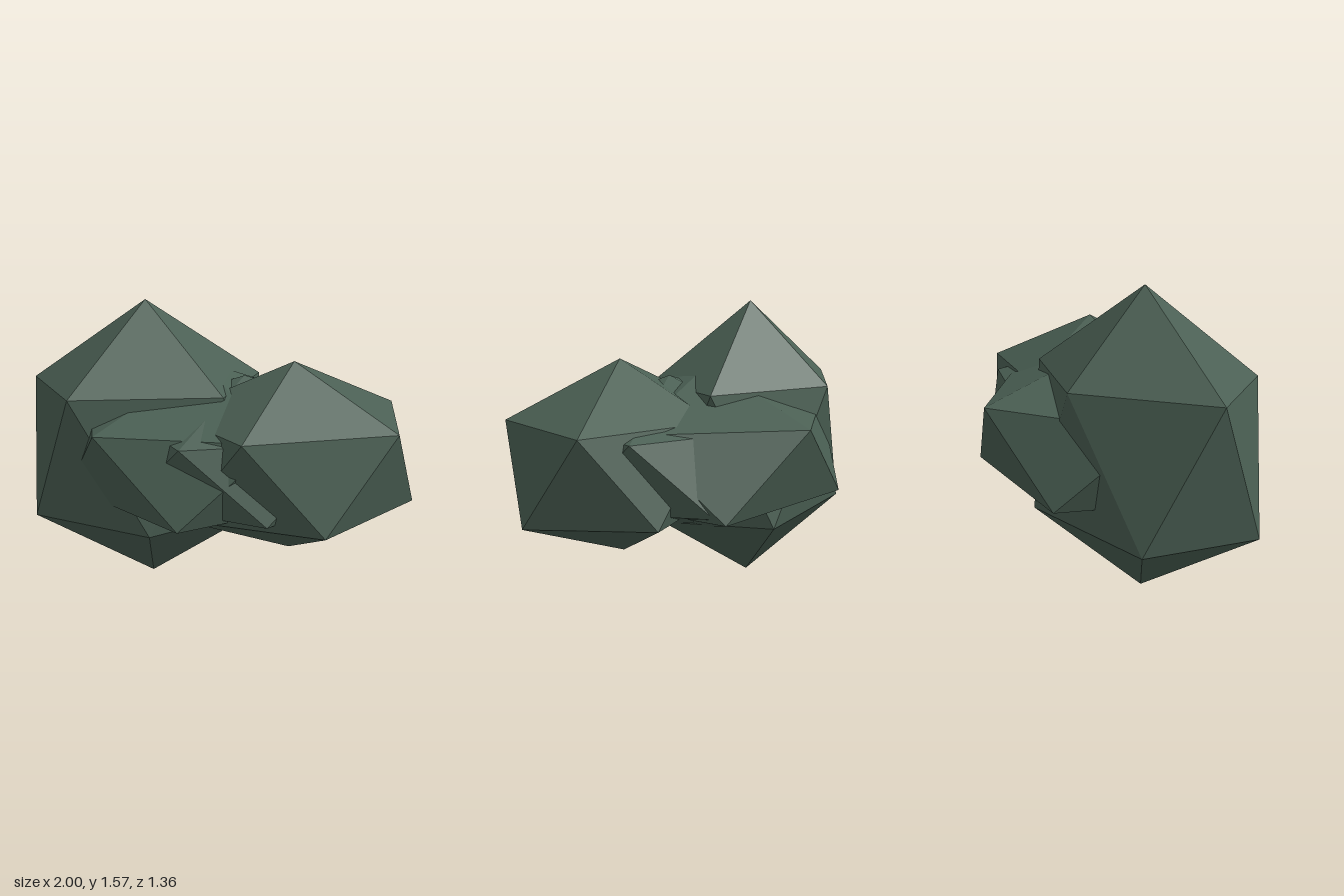
import * as THREE from 'three';

// Pole-up stretched icosahedron: c = centre, h = half height,
// u and w = [x, z] conjugate axes of the elliptical five-point ring.
function lobeGeometry(c, h, u, w) {
  const centre = new THREE.Vector3(...c);
  const top = new THREE.Vector3(0, h, 0);
  const ring = [];
  for (let k = 0; k < 5; k++) {
    const a = (k * Math.PI * 2) / 5, cos = Math.cos(a), sin = Math.sin(a);
    ring.push(new THREE.Vector3(
      u[0] * cos + w[0] * sin, h / Math.sqrt(5), u[1] * cos + w[1] * sin));
  }
  const points = [];
  // Every face is paired with its mirror through the centre
  const addPair = (p, q, r) => {
    for (const v of [p, q, r]) points.push(v.clone().add(centre));
    for (const v of [r, q, p]) points.push(v.clone().negate().add(centre));
  };
  for (let k = 0; k < 5; k++) {
    const a = ring[k], b = ring[(k + 1) % 5];
    addPair(top, b, a);                                  // cap
    addPair(a, b, ring[(k + 3) % 5].clone().negate());   // side band
  }
  const geometry = new THREE.BufferGeometry().setFromPoints(points);
  geometry.computeVertexNormals();
  return geometry;
}

export function createModel() {
  const group = new THREE.Group();
  group.name = 'bush';
  const foliage = new THREE.MeshStandardMaterial({ color: 0x4a5f53, flatShading: true });
  foliage.name = 'dark green foliage';

  const lobes = [
    ['tallLobe', [-0.39, 0.785, 0.09], 0.785, [0.523, 0.149], [-0.318, 0.509]],
    ['sideLobe', [0.41, 0.79, 0], 0.51, [0.568, 0.093], [-0.221, 0.558]],
    ['wideMiddleLobe', [-0.095, 0.79, 0.005], 0.46, [0.573, 0.416], [-0.45, 0.58]],
    ['innerLobe', [0.14, 0.79, 0], 0.41, [0.604, 0.172], [-0.25, 0.604]],
  ];
  for (const [name, ...shape] of lobes) {
    const mesh = new THREE.Mesh(lobeGeometry(...shape), foliage);
    mesh.name = name;
    group.add(mesh);
  }
  return group;
}
